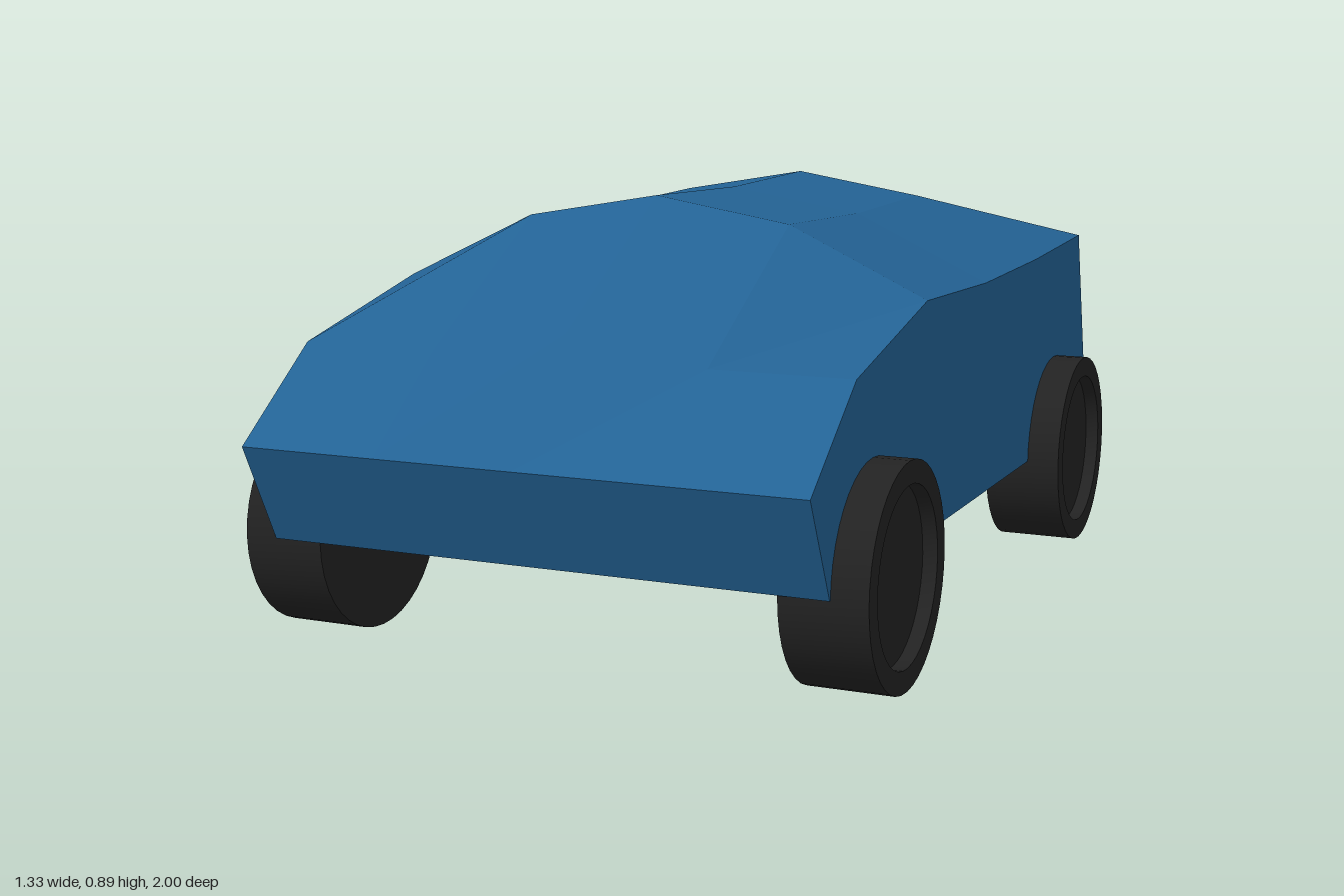
import * as THREE from 'three';
import { toCreasedNormals } from 'three/addons/utils/BufferGeometryUtils.js';

const HALF_WIDTH = 0.59;

// Stations from nose to tail: [top z, edge y, shoulder y, centre y, bottom z, bottom y]
const STATIONS = [
  [1.0, 0.43, 0.43, 0.43, 0.9, 0.225],
  [0.77, 0.605, 0.605, 0.655, 0.77, 0.225],
  [0.36, 0.7, 0.84, 0.89, 0.36, 0.225],
  [-0.05, 0.69, 0.83, 0.88, -0.05, 0.225],
  [-0.46, 0.7, 0.84, 0.89, -0.46, 0.225],
  [-0.87, 0.72, 0.72, 0.72, -0.87, 0.225],
  [-0.87, 0.67, 0.67, 0.67, -1.0, 0.235],
];

// Skins the stations into a closed, faceted shell
function bodyGeometry() {
  const w = HALF_WIDTH;
  const rings = STATIONS.map(([z, edge, shoulder, mid, zb, yb]) => [
    [w, yb, zb], [w, edge, z], [w / 2, shoulder, z], [0, mid, z],
    [-w / 2, shoulder, z], [-w, edge, z], [-w, yb, zb],
  ]);
  const n = rings[0].length;
  const positions = [];
  const tri = (a, b, c) => positions.push(...a, ...b, ...c);

  for (let i = 0; i < rings.length - 1; i++) {
    for (let j = 0; j < n; j++) {
      const k = (j + 1) % n;
      const a = rings[i], b = rings[i + 1];
      tri(a[j], b[j], a[k]);
      tri(a[k], b[j], b[k]);
    }
  }
  // Front and back panels
  const front = rings[0], back = rings[rings.length - 1];
  for (let j = 1; j < n - 1; j++) {
    tri(front[0], front[j], front[j + 1]);
    tri(back[0], back[j + 1], back[j]);
  }
  const geometry = new THREE.BufferGeometry();
  geometry.setAttribute('position', new THREE.Float32BufferAttribute(positions, 3));
  geometry.computeVertexNormals();
  return geometry;
}

// Tyre with a shallow recessed hub on its outer face
function wheelGeometry() {
  const r = 0.222, hub = 0.176, width = 0.175, recess = 0.03;
  const profile = [
    [0, 0], [r, 0], [r, width], [hub, width], [hub, width - recess], [0, width - recess],
  ].map(([x, y]) => new THREE.Vector2(x, y));
  return toCreasedNormals(new THREE.LatheGeometry(profile, 40), 0.6);
}

export function createModel() {
  const model = new THREE.Group();
  model.name = 'car';

  const paint = new THREE.MeshStandardMaterial({ color: 0x236294, flatShading: true });
  const rubber = new THREE.MeshStandardMaterial({ color: 0x222222 });

  const body = new THREE.Mesh(bodyGeometry(), paint);
  body.name = 'body';
  model.add(body);

  const wheelShape = wheelGeometry();
  for (const [end, z] of [['front', 0.675], ['rear', -0.652]]) {
    for (const [side, s] of [['Left', 1], ['Right', -1]]) {
      const wheel = new THREE.Mesh(wheelShape, rubber);
      wheel.name = `${end}${side}Wheel`;
      wheel.rotation.z = -s * Math.PI / 2;
      wheel.position.set(s * 0.488, 0.222, z);
      model.add(wheel);
    }
  }
  return model;
}
